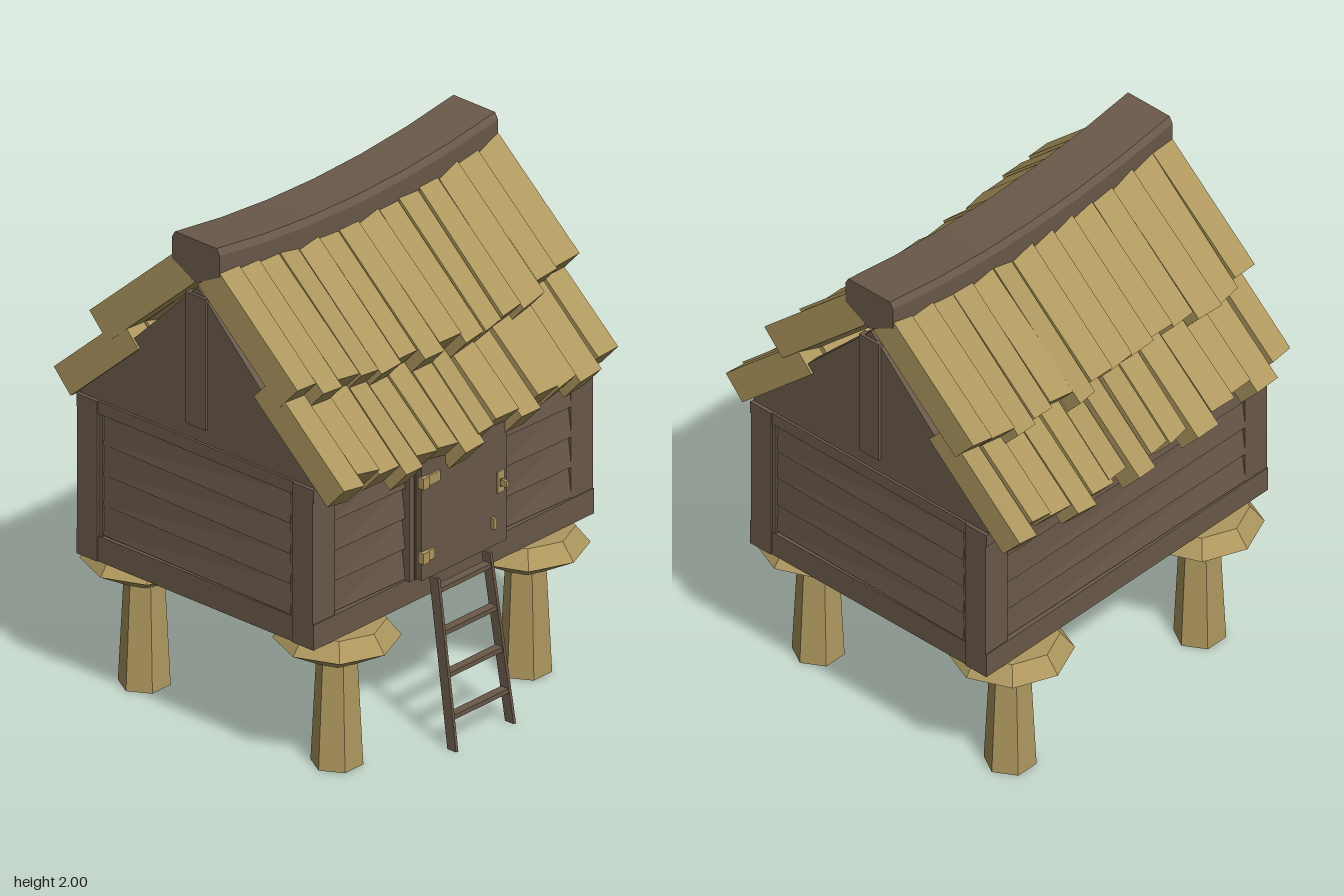
import * as THREE from 'three';

const wood = new THREE.MeshStandardMaterial({ color: 0x6a594a, flatShading: true });
wood.name = 'dark wood';
const straw = new THREE.MeshStandardMaterial({ color: 0xae985f, flatShading: true });
straw.name = 'pale wood';

// small seeded generator for the uneven shingles
let seed = 7;
const rnd = () => (seed = (seed * 16807) % 2147483647) / 2147483647;
const jitter = a => (rnd() * 2 - 1) * a;

function add(parent, name, geometry, material, x = 0, y = 0, z = 0) {
  const m = new THREE.Mesh(geometry, material);
  m.name = name;
  m.position.set(x, y, z);
  parent.add(m);
  return m;
}

// box given by its limits on each axis
function block(parent, name, material, x0, x1, y0, y1, z0, z1) {
  return add(parent, name, new THREE.BoxGeometry(x1 - x0, y1 - y0, z1 - z0), material,
    (x0 + x1) / 2, (y0 + y1) / 2, (z0 + z1) / 2);
}

function reshape(geometry, rule) {
  const p = geometry.attributes.position, v = new THREE.Vector3();
  for (let i = 0; i < p.count; i++) {
    rule(v.fromBufferAttribute(p, i));
    p.setXYZ(i, v.x, v.y, v.z);
  }
  geometry.computeVertexNormals();
  return geometry;
}

// the roof dips towards its middle
const sag = x => 0.068 * (1 - Math.min(1, (x / 0.735) ** 2));

// one shingle: outer face starts at (z, y), runs down the slope by len
function shingle(parent, x, width, z, y, len, thick) {
  const a = 0.735, dz = Math.cos(a), dy = -Math.sin(a);
  const top = width * (0.9 + rnd() * 0.1), end = width * (0.9 + rnd() * 0.1);
  const skew = jitter(0.006), roll = jitter(0.01);
  const g = reshape(new THREE.BoxGeometry(2, 2, 2), v => {
    const t = v.z > 0 ? len + v.x * skew : 0;
    const h = (v.y < 0 ? -thick : 0) + v.x * roll;
    const px = THREE.MathUtils.clamp(x + v.x * (v.z > 0 ? end : top) / 2 + (v.z > 0 ? skew : 0), -0.735, 0.735);
    v.set(px, y + dy * t + dz * h - sag(px), z + dz * t - dy * h);
  });
  add(parent, 'shingle', g, straw);
}

function roofSlope() {
  const slope = new THREE.Group();
  slope.name = 'roofSlope';
  const n = 14, step = 1.46 / n;
  for (let i = 0; i < n; i++) {
    const x = -0.73 + step * (i + 0.5);
    shingle(slope, x, step, 0.1, 1.925, 0.555 + jitter(0.03), 0.13);
    const long = (i * 5) % 3 === 0 ? 0.04 : 0;
    shingle(slope, x + jitter(0.008), step, 0.36, 1.565, 0.43 + long + rnd() * 0.02, 0.12);
  }
  return slope;
}

// four overlapping boards, each kicked out at one lower corner
function clapboards(parent, x0, x1, z) {
  for (let i = 0; i < 4; i++) {
    const w = x1 - x0;
    const g = reshape(new THREE.BoxGeometry(w, 0.12, 0.02), v => {
      if (v.z > 0) v.z = v.y > 0 ? 0.002 : (v.x > 0) ? 0.018 : 0.005;
    });
    add(parent, 'wallBoard', g, wood, (x0 + x1) / 2, 0.73 + i * 0.12, z);
  }
}

// wall framing facing +z: sill, top beam and corner posts
function frame(parent, half, z) {
  block(parent, 'sillBeam', wood, -half, half, 0.565, 0.665, z - 0.1, z);
  block(parent, 'topBeam', wood, -half, half, 1.15, 1.2, z - 0.1, z);
  for (const s of [-1, 1]) {
    const e = s * half, i = s * (half - 0.115);
    block(parent, 'cornerPost', wood, Math.min(e, i), Math.max(e, i), 0.66, 1.17, z - 0.1, z - 0.004);
  }
}

function door(parent) {
  const d = new THREE.Group();
  d.name = 'door';
  parent.add(d);
  block(d, 'doorJamb', wood, -0.252, -0.228, 0.665, 1.16, 0.54, 0.59);
  block(d, 'doorJamb', wood, 0.222, 0.25, 0.665, 1.16, 0.54, 0.59);
  block(d, 'doorBacking', wood, -0.23, 0.225, 0.665, 1.155, 0.54, 0.595);
  block(d, 'doorLeaf', wood, -0.228, 0.218, 0.672, 1.152, 0.598, 0.625);
  for (const y of [0.765, 1.062]) {
    block(d, 'hingeBarrel', straw, -0.235, -0.205, y - 0.022, y + 0.022, 0.615, 0.642);
    block(d, 'hingeStrap', straw, -0.205, y > 1 ? -0.138 : -0.168, y - 0.02, y + 0.02, 0.62, 0.634);
  }
  block(d, 'lockPlate', straw, 0.165, 0.2, 0.875, 0.96, 0.62, 0.632);
  block(d, 'keyhole', wood, 0.176, 0.189, 0.9, 0.93, 0.63, 0.636);
  block(d, 'handle', straw, 0.176, 0.19, 0.905, 0.928, 0.632, 0.662);
  block(d, 'latch', straw, 0.135, 0.15, 0.745, 0.788, 0.62, 0.64);
}

function ladder(parent) {
  const l = new THREE.Group();
  l.name = 'ladder';
  parent.add(l);
  const zAt = y => 0.705 - 0.155 * y;
  for (const s of [-1, 1]) {
    const g = reshape(new THREE.BoxGeometry(0.012, 0.65, 0.042), v => {
      v.x += s * (0.144 - v.y * 0.022);
      v.y += 0.325;
      v.z += zAt(v.y);
    });
    add(l, 'ladderRail', g, wood);
  }
  for (const y of [0.125, 0.283, 0.44, 0.6])
    add(l, 'ladderRung', new THREE.BoxGeometry(0.284, 0.018, 0.034), wood, 0, y, zAt(y));
}

export function createModel() {
  const model = new THREE.Group();
  model.name = 'stiltStorehouse';

  // body core
  block(model, 'wallCore', wood, -0.715, 0.715, 0.567, 1.17, -0.55, 0.55);

  // front and back walls
  for (const r of [0, Math.PI]) {
    const wall = new THREE.Group();
    wall.name = r ? 'backWall' : 'frontWall';
    wall.rotation.y = r;
    model.add(wall);
    frame(wall, 0.735, 0.57);
    if (r) clapboards(wall, -0.62, 0.62, 0.55);
    else {
      clapboards(wall, -0.62, -0.25, 0.55);
      clapboards(wall, 0.25, 0.62, 0.55);
      door(wall);
    }
  }

  // side walls with gables
  const gable = new THREE.Shape([[-0.565, 1.16], [0.565, 1.16], [0.565, 1.24], [0, 1.81], [-0.565, 1.24]]
    .map(p => new THREE.Vector2(...p)));
  for (const s of [-1, 1]) {
    const wall = new THREE.Group();
    wall.name = s > 0 ? 'leftWall' : 'rightWall';
    wall.rotation.y = s * Math.PI / 2;
    model.add(wall);
    frame(wall, 0.567, 0.73);
    clapboards(wall, -0.455, 0.455, 0.715);
    add(wall, 'gable', new THREE.ExtrudeGeometry(gable, { depth: 0.06, bevelEnabled: false }), wood, 0, 0, 0.66);
    block(wall, 'gablePost', wood, -0.048, 0.048, 1.26, 1.78, 0.7, 0.732);
  }

  // roof slopes
  for (const r of [0, Math.PI]) {
    const slope = roofSlope();
    slope.rotation.y = r;
    model.add(slope);
  }

  // sagging ridge beam
  const section = new THREE.Shape([[-0.1, 2], [-0.115, 1.975], [-0.115, 1.89], [0, 1.83], [0.115, 1.89], [0.115, 1.975], [0.1, 2]]
    .map(p => new THREE.Vector2(...p)));
  const ridge = new THREE.ExtrudeGeometry(section, { depth: 1.46, steps: 6, bevelEnabled: false });
  ridge.translate(0, 0, -0.73).rotateY(Math.PI / 2);
  add(model, 'ridgeBeam', reshape(ridge, v => { v.y -= sag(v.x) * 0.9; }), wood);

  // stilts with wide capstones
  for (const x of [-0.495, 0.495]) for (const z of [-0.463, 0.463]) {
    const leg = new THREE.Group();
    leg.name = 'stilt';
    leg.position.set(x, 0, z);
    model.add(leg);
    add(leg, 'stiltPost', new THREE.CylinderGeometry(0.075, 0.096, 0.42, 6), straw, 0, 0.21, 0).rotation.y = Math.PI / 2;
    add(leg, 'capLower', new THREE.CylinderGeometry(0.23, 0.085, 0.085, 8), straw, 0, 0.4575, 0);
    add(leg, 'capUpper', new THREE.CylinderGeometry(0.178, 0.23, 0.066, 8), straw, 0, 0.533, 0);
  }

  ladder(model);
  return model;
}
